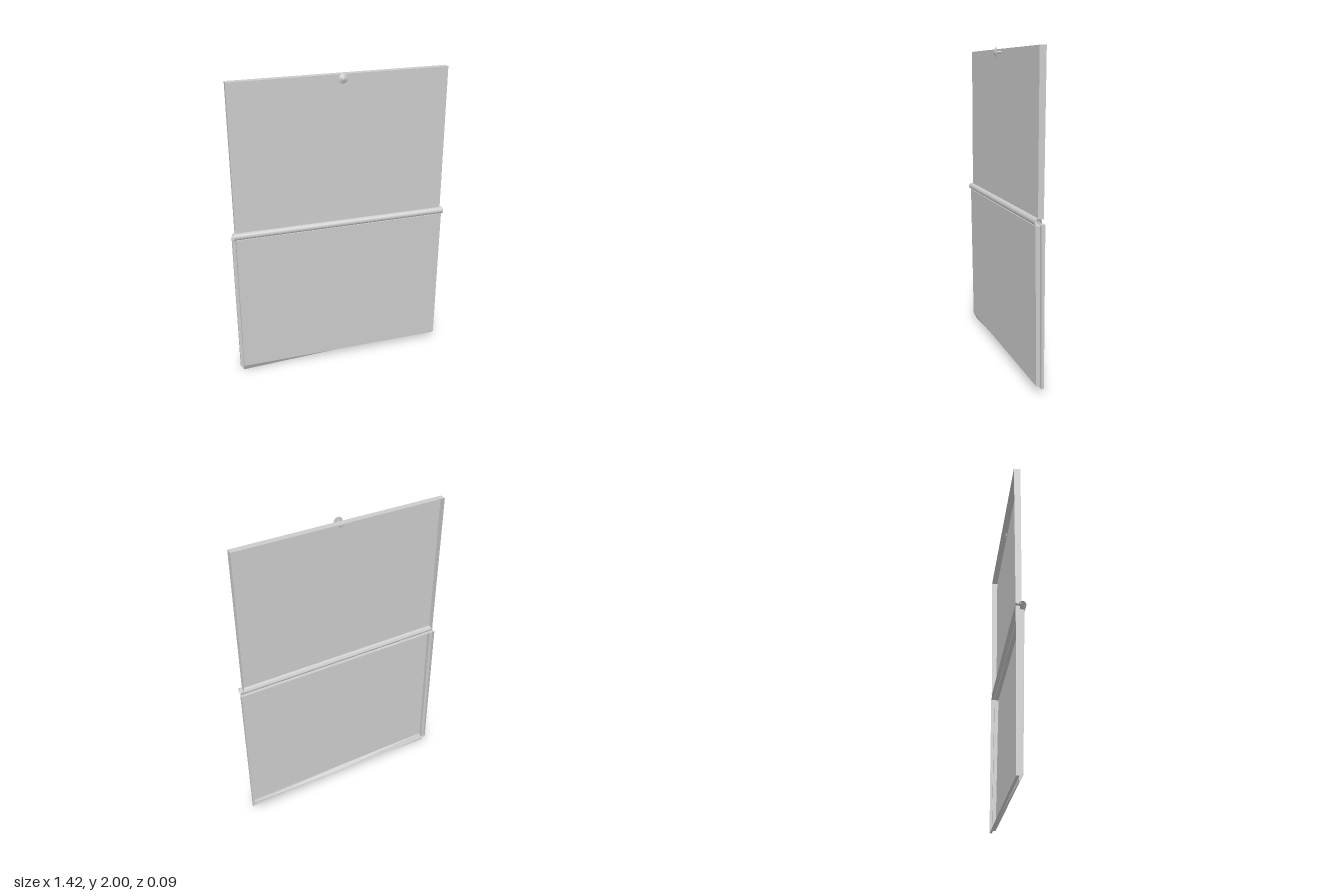
import * as THREE from 'three';

const grey = new THREE.MeshStandardMaterial({ color: 0xcccccc, side: THREE.DoubleSide });
const flat = new THREE.MeshStandardMaterial({ color: 0xcccccc, side: THREE.DoubleSide, flatShading: true });

// Five-point rectangle (bottom middle first, anticlockwise); depth may differ at top and bottom.
function ring(halfWidth, bottom, top, zBottom, zTop) {
  return [
    [0, bottom, zBottom], [halfWidth, bottom, zBottom], [halfWidth, top, zTop],
    [-halfWidth, top, zTop], [-halfWidth, bottom, zBottom],
  ];
}

// Pressed sheet: the first ring is filled, the following rings form its folded rim, open at the back.
function pressedSheet(rings) {
  const pos = [];
  const face = (...points) => points.forEach((p) => pos.push(...p));
  const first = rings[0];
  for (let j = 1; j < first.length - 1; j++) face(first[0], first[j], first[j + 1]);
  for (let i = 0; i < rings.length - 1; i++) {
    for (let j = 0; j < first.length; j++) {
      const k = (j + 1) % first.length;
      const a = rings[i][j], b = rings[i][k], c = rings[i + 1][k], d = rings[i + 1][j];
      face(a, d, c, a, c, b);
    }
  }
  const geometry = new THREE.BufferGeometry();
  geometry.setAttribute('position', new THREE.Float32BufferAttribute(pos, 3));
  geometry.computeVertexNormals();
  return geometry;
}

export function createModel() {
  const model = new THREE.Group();
  const add = (name, geometry, material) => {
    const mesh = new THREE.Mesh(geometry, material);
    mesh.name = name;
    model.add(mesh);
    return mesh;
  };

  // Upper panel: shallow tray with a straight rim
  add('upperPanel', pressedSheet([
    ring(0.69, 1.037, 1.99, -0.003, -0.003),
    ring(0.69, 1.037, 1.99, -0.038, -0.044),
  ]), flat);

  // Lower panel: leaning tray with a stepped rim
  const step = ring(0.69, 0.048, 1.0, -0.026, -0.016);
  step[0][1] = 0.032; // sagging lower edge
  step[4][1] = 0.003; // bent lower right corner
  add('lowerPanel', pressedSheet([
    ring(0.69, 0.048, 1.0, -0.002, 0.012),
    step,
    ring(0.71, 0.035, 1.01, -0.026, -0.016),
    ring(0.71, 0.035, 1.01, -0.042, -0.04),
  ]), flat);

  // Hollow rod along the joint
  const rod = add('hingeRod', new THREE.CylinderGeometry(0.022, 0.022, 1.41, 20, 1, true), grey);
  rod.rotation.z = Math.PI / 2;
  rod.position.set(0, 1.023, 0);

  // Knob: pointed cap, thin stem and small nut behind the sheet
  const profile = [
    [0, -0.018], [0.012, -0.016], [0.017, -0.01], [0.008, -0.005],
    [0.007, 0.03], [0.03, 0.032], [0.012, 0.04], [0, 0.045],
  ].map(([r, h]) => new THREE.Vector2(r, h));
  const knob = add('knob', new THREE.LatheGeometry(profile, 16), flat);
  knob.rotation.x = Math.PI / 2;
  knob.position.y = 1.97;

  return model;
}
